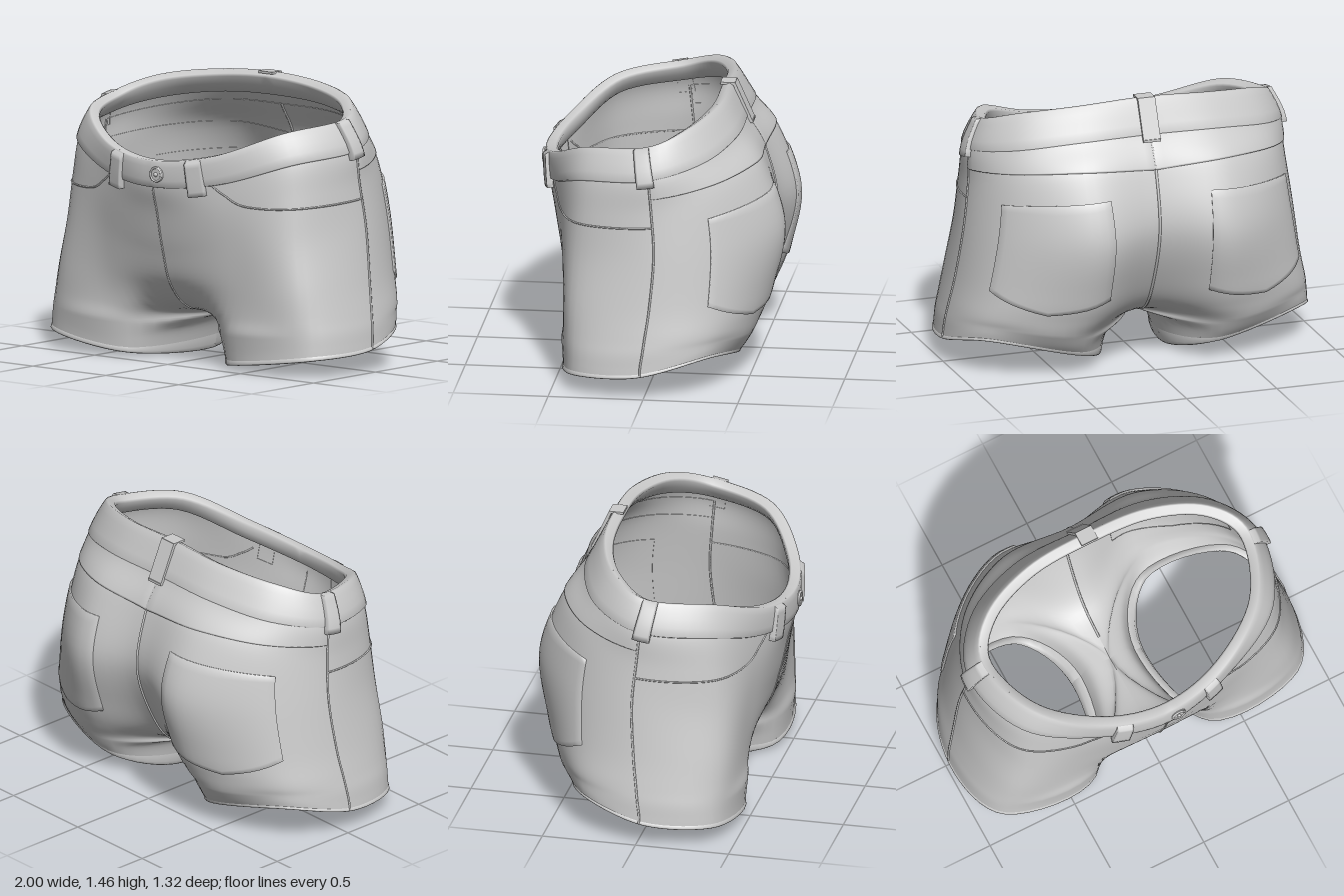
import * as THREE from 'three';

// Lengthwise guide curves of the left half, each running from waist (v = 0) to hem (v = 8).
const guides = {
  frontSeam: [[0, 1.10, .62], [0, .96, .62], [0, .82, .585], [0, .62, .54], [0, .42, .47],
    [0, .28, .30], [0, .23, -.06], [.12, .185, -.08], [.185, .01, -.09]],
  frontInner: [[.35, 1.145, .55], [.38, 1.0, .54], [.40, .85, .53], [.42, .66, .505], [.41, .44, .48],
    [.36, .29, .46], [.33, .2, .44], [.33, .1, .425], [.34, .025, .42]],
  frontOuter: [[.655, 1.27, .345], [.73, 1.115, .36], [.76, .93, .37], [.78, .70, .39], [.82, .46, .405],
    [.84, .3, .41], [.85, .22, .41], [.855, .15, .41], [.86, .09, .41]],
  side: [[.78, 1.32, .01], [.855, 1.16, 0], [.87, .98, -.01], [.90, .75, -.02], [.94, .48, 0],
    [.97, .32, .02], [.985, .24, .03], [.992, .17, .04], [.997, .12, .04]],
  backOuter: [[.645, 1.395, -.195], [.70, 1.22, -.275], [.725, 1.05, -.35], [.755, .78, -.395], [.805, .48, -.385],
    [.84, .34, -.365], [.845, .28, -.35], [.85, .24, -.34], [.85, .20, -.33]],
  backInner: [[.35, 1.44, -.31], [.38, 1.27, -.41], [.40, 1.10, -.54], [.39, .78, -.65], [.40, .47, -.60],
    [.40, .32, -.55], [.39, .23, -.50], [.38, .16, -.46], [.38, .10, -.42]],
  backSeam: [[0, 1.46, -.33], [0, 1.28, -.42], [0, 1.10, -.52], [0, .80, -.58], [0, .50, -.48],
    [0, .30, -.33], [0, .23, -.06], [.12, .185, -.08], [.185, .01, -.09]],
};
const curves = Object.values(guides).map(g =>
  new THREE.CatmullRomCurve3(g.map(p => new THREE.Vector3(...p)), false, 'catmullrom', 0.5));
const CROTCH = 6, HEM = 8;
const clamp = THREE.MathUtils.clamp;
const mirrorX = p => new THREE.Vector3(-p.x, p.y, p.z);

// Point on the left half: u goes front seam -> side -> back seam.
function surface(u, v) {
  v = clamp(v, 0, HEM);
  const p = curves.map(c => c.getPoint(v / HEM));
  if (v < CROTCH) p[0].x = p[6].x = 0;
  else {
    p[0].lerp(p[6], 0.5);
    p[6].copy(p[0]);
  }
  // End tangents: mirrored across the centre seam above, closed rings on the leg
  const w = THREE.MathUtils.smoothstep(v, CROTCH - 1, CROTCH + 0.3);
  const before = mirrorX(p[1]).lerp(p[5], w), after = mirrorX(p[5]).lerp(p[1], w);
  const q = [before, ...p, after];
  const x = clamp(u, 0, 1) * 6, i = Math.min(5, Math.floor(x)), t = x - i;
  const cr = k => {
    const a = q[i][k], b = q[i + 1][k], c = q[i + 2][k], d = q[i + 3][k];
    return b + 0.5 * t * (c - a + t * (2 * a - 5 * b + 4 * c - d + t * (3 * (b - c) + d - a)));
  };
  return new THREE.Vector3(cr('x'), cr('y'), cr('z'));
}

// Same point pushed out along the cloth normal.
function offsetPoint(u, v, off) {
  const pt = surface(u, v);
  if (!off) return pt;
  const e = 0.01;
  const du = surface(u + e, v).sub(surface(u - e, v));
  const dv = surface(u, Math.min(v + e, HEM)).sub(surface(u, Math.max(0, v - e)));
  const n = dv.cross(du);
  if ((u <= 0 || u >= 1) && v < CROTCH) n.x = 0;
  return pt.addScaledVector(n.normalize(), off);
}

const cloth = new THREE.MeshStandardMaterial({ color: 0xcccccc, side: THREE.DoubleSide });

// Grid of cloth; f(i, j) returns [u, v, offset].
function clothGeometry(nu, nv, f, sign) {
  const pos = [], index = [];
  for (let j = 0; j <= nv; j++) for (let i = 0; i <= nu; i++) {
    const p = offsetPoint(...f(i, j));
    pos.push(p.x * sign, p.y, p.z);
  }
  for (let j = 0; j < nv; j++) for (let i = 0; i < nu; i++) {
    const a = j * (nu + 1) + i, b = a + 1, c = a + nu + 1, d = c + 1;
    if (sign > 0) index.push(a, c, b, b, c, d);
    else index.push(a, b, c, b, d, c);
  }
  const g = new THREE.BufferGeometry();
  g.setAttribute('position', new THREE.Float32BufferAttribute(pos, 3));
  g.setIndex(index);
  g.computeVertexNormals();
  return g;
}

export function createModel() {
  const model = new THREE.Group();
  model.name = 'shorts';
  const add = (name, geometry, parent = model) => {
    const m = new THREE.Mesh(geometry, cloth);
    m.name = name;
    parent.add(m);
    return m;
  };

  for (const sign of [1, -1]) {
    const half = new THREE.Group();
    half.name = sign > 0 ? 'leftHalf' : 'rightHalf';
    model.add(half);

    // Ring of cloth swept from a [v, offset] profile
    const band = (name, profile) => add(name, clothGeometry(48, profile.length - 1,
      (i, j) => [i / 48, ...profile[j]], sign), half);

    // Raised patch with turned-down edges; lean slants it along u
    const patch = (name, u0, u1, top, bottom, off, n = 14, lean = 0) =>
      add(name, clothGeometry(n + 2, n + 2, (i, j) => {
        const s = clamp((i - 1) / n, 0, 1), t = clamp((j - 1) / n, 0, 1);
        const edge = i === 0 || j === 0 || i === n + 2 || j === n + 2;
        return [u0 + (u1 - u0) * s + lean * t, top(s) + (bottom(s) - top(s)) * t, edge ? -0.003 : off];
      }, sign), half);

    // Thin seam following [u, v] points
    const seam = (name, points, r = 0.005) => {
      const path = new THREE.CatmullRomCurve3(points.map(([u, v]) => new THREE.Vector3(u, v, 0)));
      const line = path.getPoints(36).map(p => {
        const q = offsetPoint(p.x, p.y, 0.001);
        return q.setX(q.x * sign);
      });
      add(name, new THREE.TubeGeometry(new THREE.CatmullRomCurve3(line), 60, r, 5), half);
    };

    // Main cloth of hip and leg
    add('body', clothGeometry(48, 56, (i, j) => [i / 48, j / 56 * HEM, 0], sign), half);

    // Thick waistband and rolled hem
    band('waistband', [[1.03, 0], [1, .012], [.75, .014], [.5, .015], [.25, .015], [.05, .012],
      [0, .004], [0, -.04], [.05, -.052], [.3, -.05], [.6, -.04], [.65, 0]]);
    band('hem', [[7.6, 0], [7.7, .003], [7.85, .005], [7.95, .004], [8, 0],
      [8, -.025], [7.9, -.034], [7.6, -.034], [7.55, 0]]);

    // Back yoke and back pocket
    patch('backYoke', .51, 1, () => 1, s => 1.6 + .35 * s, .006, 24);
    patch('backPocket', .635, .885, s => 2.4 - .03 * s,
      s => 4.0 + .15 * s + .5 * (1 - Math.abs(2 * s - 1)), .01);

    // Seams
    seam('frontPocketSeam', [[.15, 1], [.175, 1.4], [.23, 1.95], [.33, 2.2], [.51, 2.35]]);
    seam('sideSeam', [[.505, 1], [.51, 3], [.51, 5], [.51, 7.9]], 0.006);
    if (sign > 0) {
      seam('flySeam', [[0, 1], [0, 2.5], [0, 4], [0, 5]]);
      seam('seatSeam', [[1, 1], [1, 2.5], [1, 4], [1, 5.5]], 0.007);
    }

    // Front and side belt loops
    patch('frontBeltLoop', .097, .136, () => -.05, () => 1.35, .033, 8);
    patch('sideBeltLoop', .466, .508, () => -.05, () => 1.22, .034, 8, .012);
  }

  // Back belt loop with its folded top
  const backLoop = new THREE.Group();
  backLoop.name = 'backBeltLoop';
  model.add(backLoop);
  const strap = add('loopStrap', new THREE.BoxGeometry(.095, .23, .016), backLoop);
  strap.position.set(0, 1.355, -.405);
  strap.rotation.x = 0.42;
  add('loopTop', new THREE.BoxGeometry(.095, .012, .075), backLoop).position.set(0, 1.458, -.325);
  add('loopFoot', new THREE.BoxGeometry(.095, .014, .02), backLoop).position.set(0, 1.255, -.45);

  // Waist button: disc, rim and stud
  const button = new THREE.Group();
  button.name = 'button';
  button.position.set(.04, 1.03, .637);
  model.add(button);
  add('buttonDisc', new THREE.CylinderGeometry(.038, .042, .014, 20).rotateX(Math.PI / 2), button);
  add('buttonRim', new THREE.TorusGeometry(.036, .006, 8, 20), button).position.z = .006;
  add('buttonStud', new THREE.SphereGeometry(.012, 10, 8), button).position.z = .006;

  return model;
}
